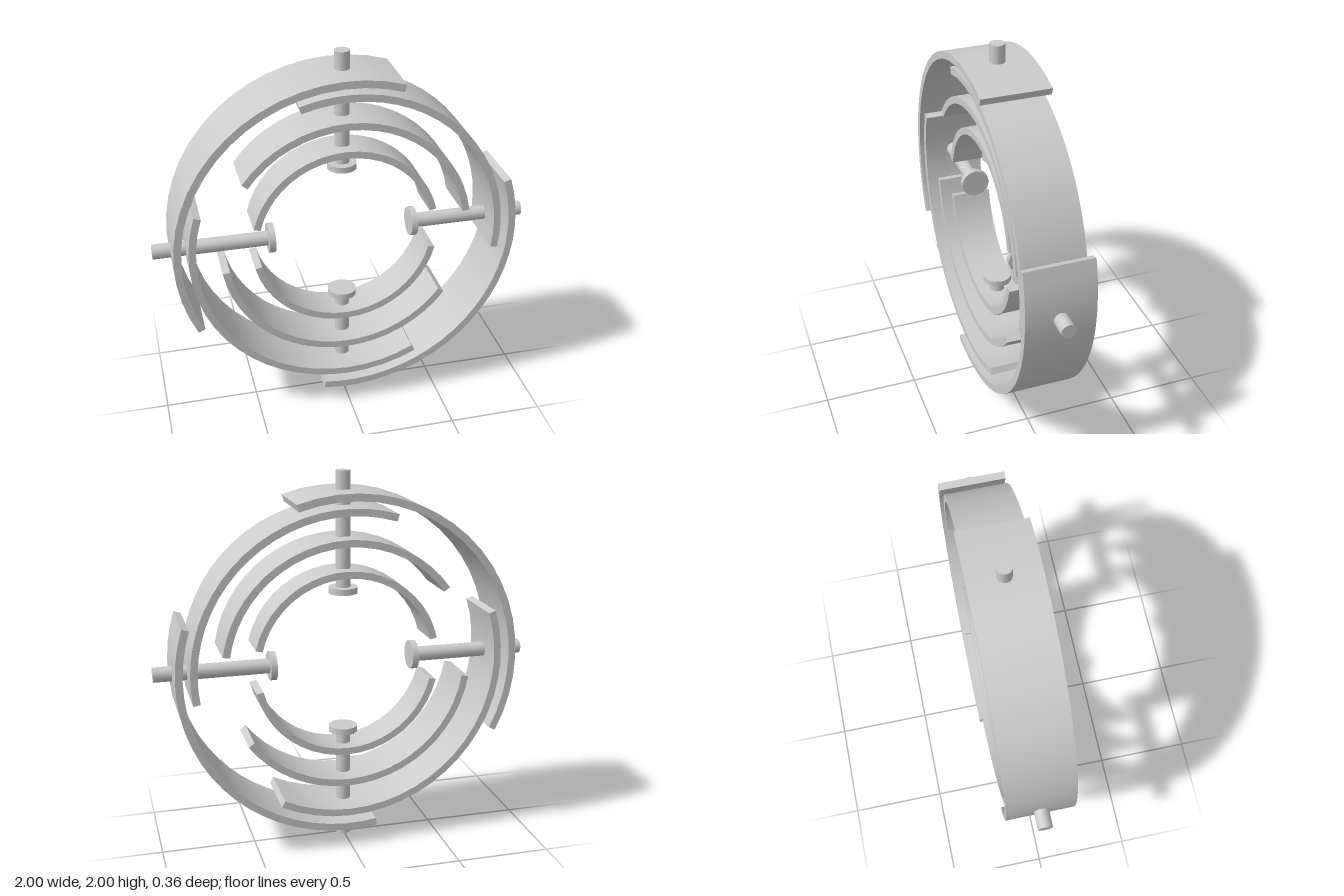
import * as THREE from 'three';
import { toCreasedNormals } from 'three/addons/utils/BufferGeometryUtils.js';

const material = new THREE.MeshStandardMaterial({ color: 0xcccccc });
const rad = THREE.MathUtils.degToRad;

// Curved band: a ring sector in the front plane, extruded along z
function band(name, inner, outer, depth, from, to) {
  const shape = new THREE.Shape();
  shape.absarc(0, 0, outer, rad(from), rad(to), false);
  shape.absarc(0, 0, inner, rad(to), rad(from), true);
  shape.closePath();
  const geometry = new THREE.ExtrudeGeometry(shape, { depth, bevelEnabled: false, curveSegments: 10 });
  geometry.translate(0, 0, -depth / 2);
  const mesh = new THREE.Mesh(toCreasedNormals(geometry, 0.5), material);
  mesh.name = name;
  return mesh;
}

// Radial pin pointing outwards along +y, with a flat head at its inner end
function pin(name) {
  const group = new THREE.Group();
  group.name = name;
  const part = (partName, radius, start, end, sides) => {
    const mesh = new THREE.Mesh(new THREE.CylinderGeometry(radius, radius, end - start, sides), material);
    mesh.position.y = (start + end) / 2;
    mesh.name = partName;
    group.add(mesh);
  };
  part('pinRod', 0.039, 0.38, 1, 16);
  part('pinHead', 0.078, 0.367, 0.4, 12);
  return group;
}

export function createModel() {
  const model = new THREE.Group();
  model.name = 'concentricRings';
  const assembly = new THREE.Group();
  assembly.name = 'ringAssembly';
  assembly.position.y = 1;
  model.add(assembly);

  // Rings from outside in: inner radius, outer radius, depth, two arcs in degrees
  const rings = [
    ['outerBand', 0.868, 0.907, 0.36, [[72, 207], [261, 378]]],
    ['secondBand', 0.792, 0.83, 0.33, [[-9, 107.5], [162, 297]]],
    ['thirdBand', 0.63, 0.668, 0.27, [[9, 144], [189, 324]]],
    ['innerBand', 0.463, 0.5, 0.21, [[13.5, 166.5], [193.5, 346.5]]],
  ];
  for (const [name, inner, outer, depth, arcs] of rings) {
    arcs.forEach(([from, to], i) => {
      assembly.add(band(name + (i + 1), inner, outer, depth, from, to));
    });
  }

  // Four pins through the rings
  ['topPin', 'rightPin', 'bottomPin', 'leftPin'].forEach((name, i) => {
    const p = pin(name);
    p.rotation.z = i * Math.PI / 2;
    assembly.add(p);
  });
  return model;
}
